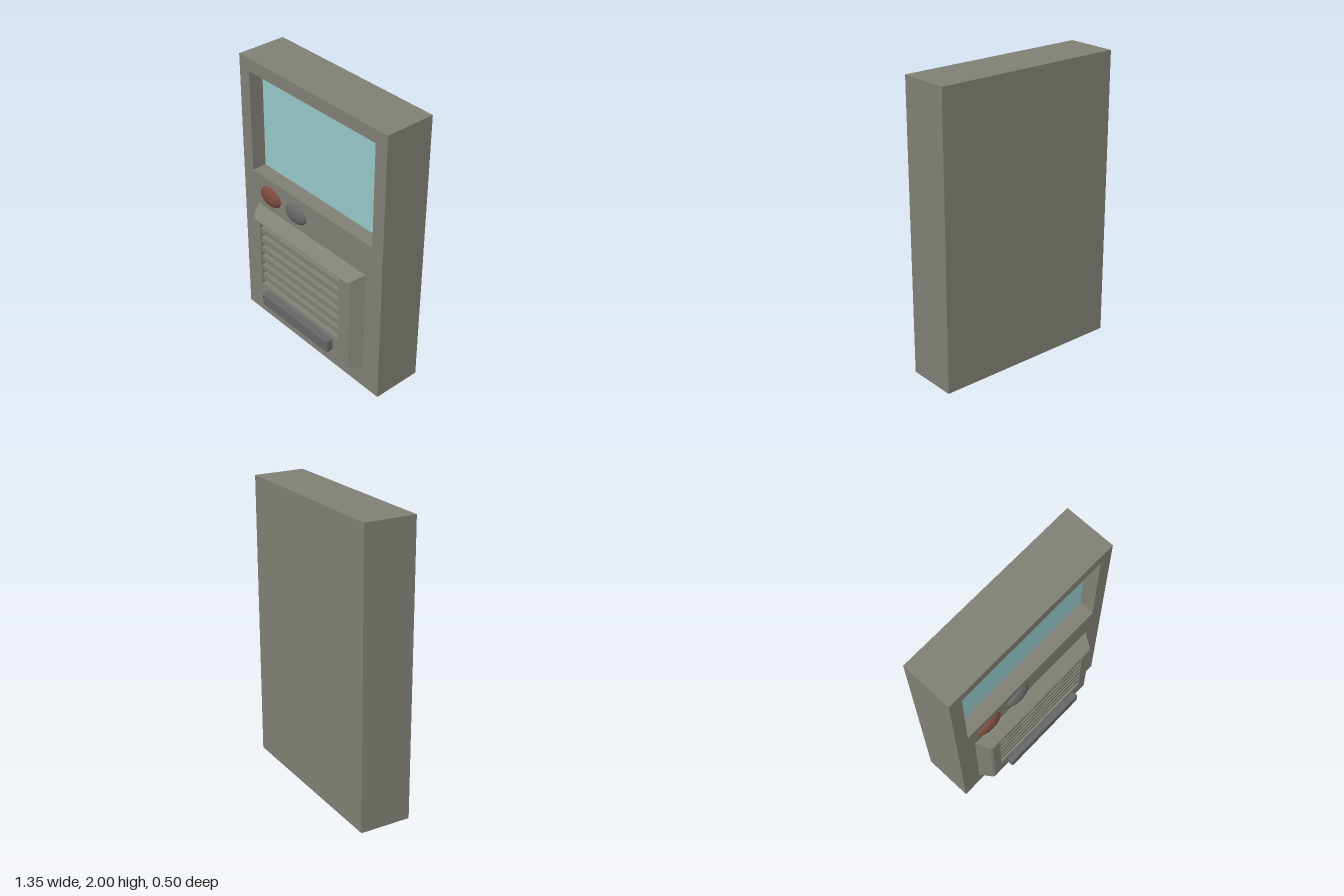
import * as THREE from 'three';
import { RoundedBoxGeometry } from 'three/addons/geometries/RoundedBoxGeometry.js';

const mat = (color) => new THREE.MeshStandardMaterial({ color });

// Flat-sided skin through rectangular rings [x0, x1, y0, y1, z], with optional end caps
function rectLoft(rings, capStart, capEnd) {
  const pos = [];
  const corners = ([x0, x1, y0, y1, z]) => [[x0, y0, z], [x1, y0, z], [x1, y1, z], [x0, y1, z]];
  const quad = (a, b, c, d) => pos.push(...a, ...b, ...c, ...a, ...c, ...d);
  const loops = rings.map(corners);
  for (let r = 0; r < loops.length - 1; r++) {
    const a = loops[r], b = loops[r + 1];
    for (let i = 0; i < 4; i++) {
      const j = (i + 1) % 4;
      quad(a[i], a[j], b[j], b[i]);
    }
  }
  if (capStart) quad(...loops[0].slice().reverse());
  if (capEnd) quad(...loops[loops.length - 1]);
  const geo = new THREE.BufferGeometry();
  geo.setAttribute('position', new THREE.Float32BufferAttribute(pos, 3));
  geo.computeVertexNormals();
  return geo;
}

export function createModel() {
  const group = new THREE.Group();
  const caseMat = mat(0x808076);
  const greyMat = mat(0x666666);
  const add = (name, geo, material, x = 0, y = 0, z = 0) => {
    const mesh = new THREE.Mesh(geo, material);
    mesh.name = name;
    mesh.position.set(x, y, z);
    group.add(mesh);
    return mesh;
  };

  // Slab body with the screen recess in its front
  add('body', rectLoft([
    [-0.675, 0.675, 0, 2, -0.25],
    [-0.675, 0.675, 0, 2, 0.105],
    [-0.58, 0.58, 1.175, 1.91, 0.105],
    [-0.58, 0.58, 1.175, 1.91, 0],
  ], true, false), caseMat);
  add('screen', new THREE.PlaneGeometry(1.16, 0.735), mat(0x96c8c8), 0, 1.5425, 0);

  // Raised panel with sloped sides, a fine edge chamfer and a vent opening
  add('ventPanel', rectLoft([
    [-0.53, 0.53, 0.145, 0.935, 0.105],
    [-0.48, 0.48, 0.187, 0.893, 0.193],
    [-0.465, 0.465, 0.197, 0.884, 0.203],
    [-0.4, 0.392, 0.37, 0.88, 0.203],
    [-0.4, 0.392, 0.37, 0.88, 0.14],
  ], false, true), caseMat);

  // Horizontal slats, evenly alternating with the gaps
  const step = 0.51 / 13;
  const slat = new THREE.BoxGeometry(0.792, step, 0.055);
  for (let i = 0; i < 6; i++) {
    add('ventSlat' + (i + 1), slat, caseMat, -0.004, 0.37 + (2 * i + 1.5) * step, 0.1675);
  }

  // Bar below the vent
  add('handleBar', new RoundedBoxGeometry(0.675, 0.096, 0.06, 2, 0.008), greyMat, -0.002, 0.292, 0.222);

  // Two oval buttons
  const button = new THREE.SphereGeometry(1, 32, 16);
  add('redButton', button, mat(0x7a4a3c), -0.395, 1.05, 0.1).scale.set(0.103, 0.072, 0.043);
  add('greyButton', button, greyMat, -0.135, 1.05, 0.1).scale.set(0.103, 0.072, 0.043);

  return group;
}
